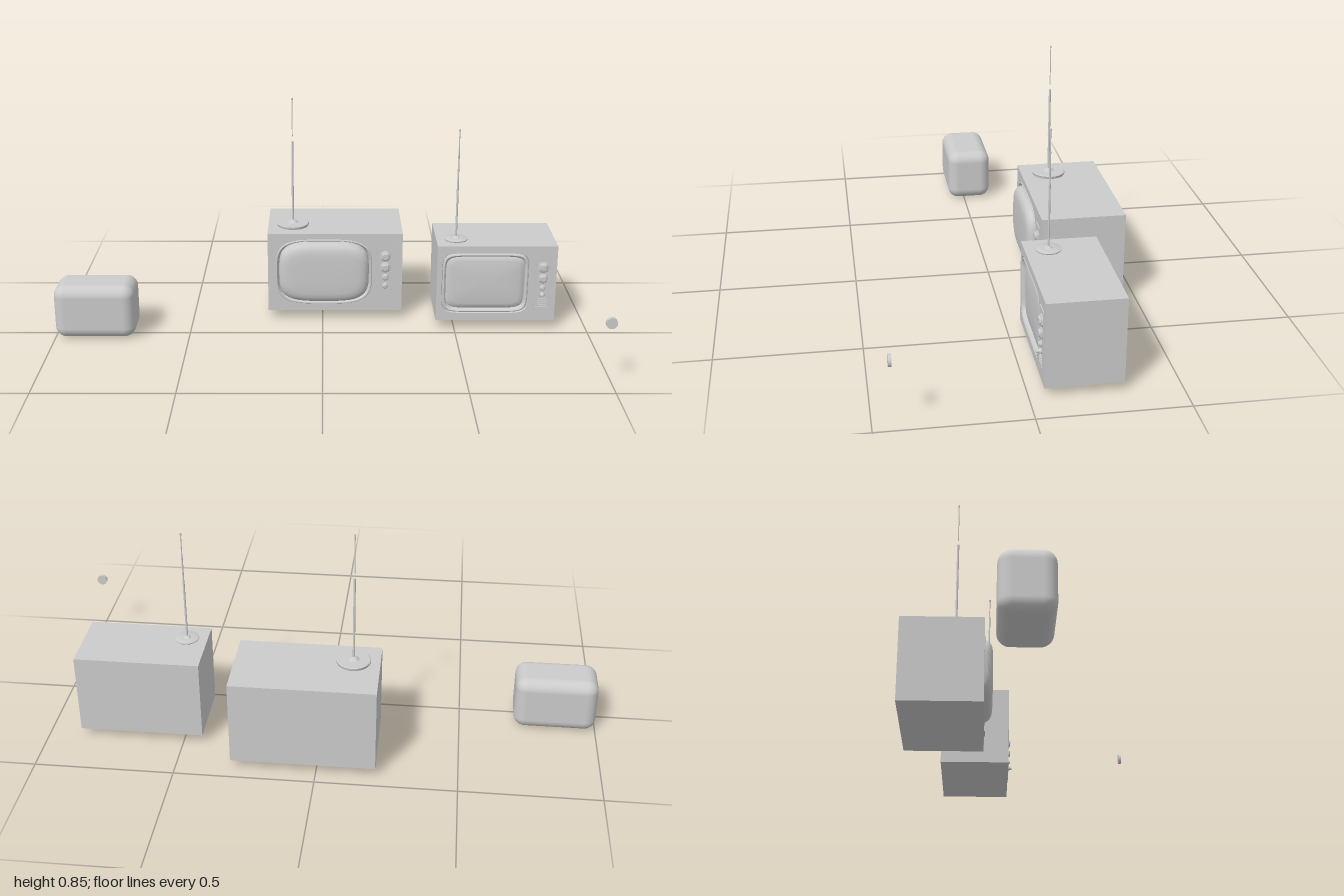
import * as THREE from 'three';
import { toCreasedNormals } from 'three/addons/utils/BufferGeometryUtils.js';
import { RoundedBoxGeometry } from 'three/addons/geometries/RoundedBoxGeometry.js';

const material = new THREE.MeshStandardMaterial({ color: 0xcccccc, roughness: 0.7 });

function add(parent, name, geometry, x = 0, y = 0, z = 0) {
  const mesh = new THREE.Mesh(geometry, material);
  mesh.name = name;
  mesh.position.set(x, y, z);
  parent.add(mesh);
  return mesh;
}

// Rounded, slightly bulging screen outline
function outline(hw, hh, power, count = 72) {
  const bend = v => Math.sign(v) * Math.abs(v) ** (2 / power);
  return Array.from({ length: count }, (_, i) => {
    const t = (i / count) * Math.PI * 2;
    return new THREE.Vector2(hw * bend(Math.cos(t)), hh * bend(Math.sin(t)));
  });
}

// Concentric outlines from the rim inwards; profile holds [inset, z] pairs
function loft(hw, hh, power, profile) {
  const positions = [], index = [];
  let n = 0;
  profile.forEach(([inset, z], i) => {
    const ring = outline(Math.max(0, hw - inset), Math.max(0, hh - inset), power);
    n = ring.length;
    ring.forEach(p => positions.push(p.x, p.y, z));
    if (i === 0) return;
    for (let j = 0; j < n; j++) {
      const a = (i - 1) * n + j, b = (i - 1) * n + (j + 1) % n;
      index.push(a, b, b + n, a, b + n, a + n);
    }
  });
  const geometry = new THREE.BufferGeometry();
  geometry.setAttribute('position', new THREE.Float32BufferAttribute(positions, 3));
  geometry.setIndex(index);
  return toCreasedNormals(geometry, 0.7);
}

// Turned knob facing +z, with a narrow grip bar
function addKnob(parent, x, y, r, depth) {
  const knob = new THREE.Group();
  knob.name = 'knob';
  knob.position.set(x, y, 0);
  const profile = [[r, 0], [r, depth * 0.35], [r * 0.85, depth * 0.5], [r * 0.7, depth * 0.55],
    [r * 0.62, depth * 0.9], [r * 0.52, depth], [0, depth]].map(p => new THREE.Vector2(...p));
  const geometry = toCreasedNormals(new THREE.LatheGeometry(profile, 28), 0.6);
  add(knob, 'knobBody', geometry.rotateX(Math.PI / 2));
  add(knob, 'knobGrip', new THREE.BoxGeometry(r * 0.22, r * 1.0, depth * 0.15), 0, 0, depth);
  parent.add(knob);
}

// Base disc and telescopic rod; segments are [bottom, top, radius]
function addAntenna(parent, x, y, z, r, baseHeight, coneHeight, segments) {
  const antenna = new THREE.Group();
  antenna.name = 'antenna';
  antenna.position.set(x, 0, z);
  const profile = [[0, 0], [r * 0.97, 0], [r, baseHeight * 0.3], [r, baseHeight * 0.8], [r * 0.95, baseHeight],
    [r * 0.34, baseHeight], [r * 0.12, coneHeight], [0, coneHeight]].map(p => new THREE.Vector2(...p));
  add(antenna, 'antennaBase', toCreasedNormals(new THREE.LatheGeometry(profile, 40), 0.6), 0, y, 0);
  for (const [bottom, top, radius] of segments) {
    add(antenna, 'antennaRod', new THREE.CylinderGeometry(radius, radius, top - bottom, 12), 0, (bottom + top) / 2, 0);
  }
  parent.add(antenna);
}

// Cabinet with a screen opening; local z = 0 is the front face
function addTelevision(parent, o) {
  const tv = new THREE.Group();
  tv.name = o.name;
  tv.position.set(0, 0, o.front);
  const [x0, x1] = o.x, [y0, y1] = o.y, w = x1 - x0, h = y1 - y0, lip = 0.03;
  const { cx, cy, hw, hh, power } = o.screen;

  const face = new THREE.Shape([[x0, y0], [x1, y0], [x1, y1], [x0, y1]].map(p => new THREE.Vector2(...p)));
  face.holes.push(new THREE.Path(outline(hw, hh, power).map(p => new THREE.Vector2(p.x + cx, p.y + cy)).reverse()));
  add(tv, 'cabinetFront', new THREE.ExtrudeGeometry(face, { depth: lip, bevelEnabled: false }), 0, 0, -lip);
  add(tv, 'cabinet', new THREE.BoxGeometry(w, h, o.depth - lip), (x0 + x1) / 2, (y0 + y1) / 2, -(o.depth + lip) / 2);

  add(tv, 'screenBezel', loft(hw, hh, power, o.bezel), cx, cy);
  add(tv, 'screenGlass', loft(hw, hh, power, o.glass), cx, cy);

  // Control panel with a thin raised border
  const p = o.panel, pw = p.x[1] - p.x[0], ph = p.y[1] - p.y[0];
  const px = (p.x[0] + p.x[1]) / 2, py = (p.y[0] + p.y[1]) / 2;
  add(tv, 'controlPanel', new THREE.BoxGeometry(pw, ph, 0.002), px, py, 0.0005);
  for (const s of [-1, 1]) {
    add(tv, 'panelBorder', new THREE.BoxGeometry(0.003, ph, 0.005), px + s * pw / 2, py, 0.001);
    add(tv, 'panelBorder', new THREE.BoxGeometry(pw, 0.003, 0.005), px, py + s * ph / 2, 0.001);
  }
  for (const k of o.knobs) addKnob(tv, ...k);
  for (let i = 0; i < o.slats; i++) {
    add(tv, 'panelSlat', new THREE.BoxGeometry(pw * 0.65, 0.003, 0.008), px, p.y[0] + 0.011 + i * 0.008, 0.002);
  }
  parent.add(tv);
}

export function createModel() {
  const model = new THREE.Group();
  model.name = 'televisionSet';

  // Loose rounded block
  add(model, 'roundedBlock', new RoundedBoxGeometry(0.3, 0.205, 0.175, 6, 0.042), -0.85, 0.1025, -0.023);

  // Larger television with a bulging tube
  addTelevision(model, {
    name: 'largeTelevision', x: [-0.21, 0.305], y: [0.03, 0.345], front: -0.145, depth: 0.3,
    screen: { cx: 0.005, cy: 0.19, hw: 0.185, hh: 0.132, power: 3.7 },
    bezel: [[0, 0], [0.002, 0.003], [0.005, 0.003], [0.009, -0.008], [0.015, -0.02]],
    glass: [[0.013, -0.02], [0.013, 0.003], [0.016, 0.012], [0.023, 0.02], [0.034, 0.026],
      [0.05, 0.029], [0.08, 0.03], [1, 0.031]],
    panel: { x: [0.208, 0.268], y: [0.078, 0.295] },
    knobs: [[0.24, 0.255, 0.021, 0.015], [0.24, 0.21, 0.021, 0.015], [0.24, 0.17, 0.014, 0.013], [0.24, 0.135, 0.012, 0.013]],
    slats: 0
  });
  addAntenna(model, -0.115, 0.345, -0.248, 0.061, 0.012, 0.023,
    [[0.36, 0.68, 0.004], [0.7, 0.842, 0.0018], [0.84, 0.848, 0.003]]);

  // Smaller television with a flush screen
  addTelevision(model, {
    name: 'smallTelevision', x: [0.43, 0.88], y: [0.03, 0.33], front: -0.049, depth: 0.261,
    screen: { cx: 0.613, cy: 0.181, hw: 0.164, hh: 0.121, power: 7 },
    bezel: [[0, 0], [0.002, -0.006], [0.004, -0.001], [0.008, 0.001], [0.012, -0.001], [0.015, -0.006], [0.016, -0.016]],
    glass: [[0.015, -0.016], [0.02, -0.011], [0.035, -0.008], [0.07, -0.005], [1, -0.003]],
    panel: { x: [0.802, 0.857], y: [0.085, 0.287] },
    knobs: [[0.829, 0.247, 0.022, 0.013], [0.829, 0.202, 0.019, 0.013], [0.829, 0.164, 0.011, 0.012], [0.829, 0.137, 0.009, 0.019]],
    slats: 4
  });
  addAntenna(model, 0.505, 0.33, -0.129, 0.044, 0.006, 0.014,
    [[0.34, 0.565, 0.0038], [0.565, 0.68, 0.003], [0.68, 0.756, 0.002], [0.752, 0.76, 0.004]]);

  // Loose small disc
  add(model, 'smallDisc', new THREE.CylinderGeometry(0.02, 0.02, 0.011, 28).rotateX(Math.PI / 2), 0.98, 0.235, 0.44);

  return model;
}
